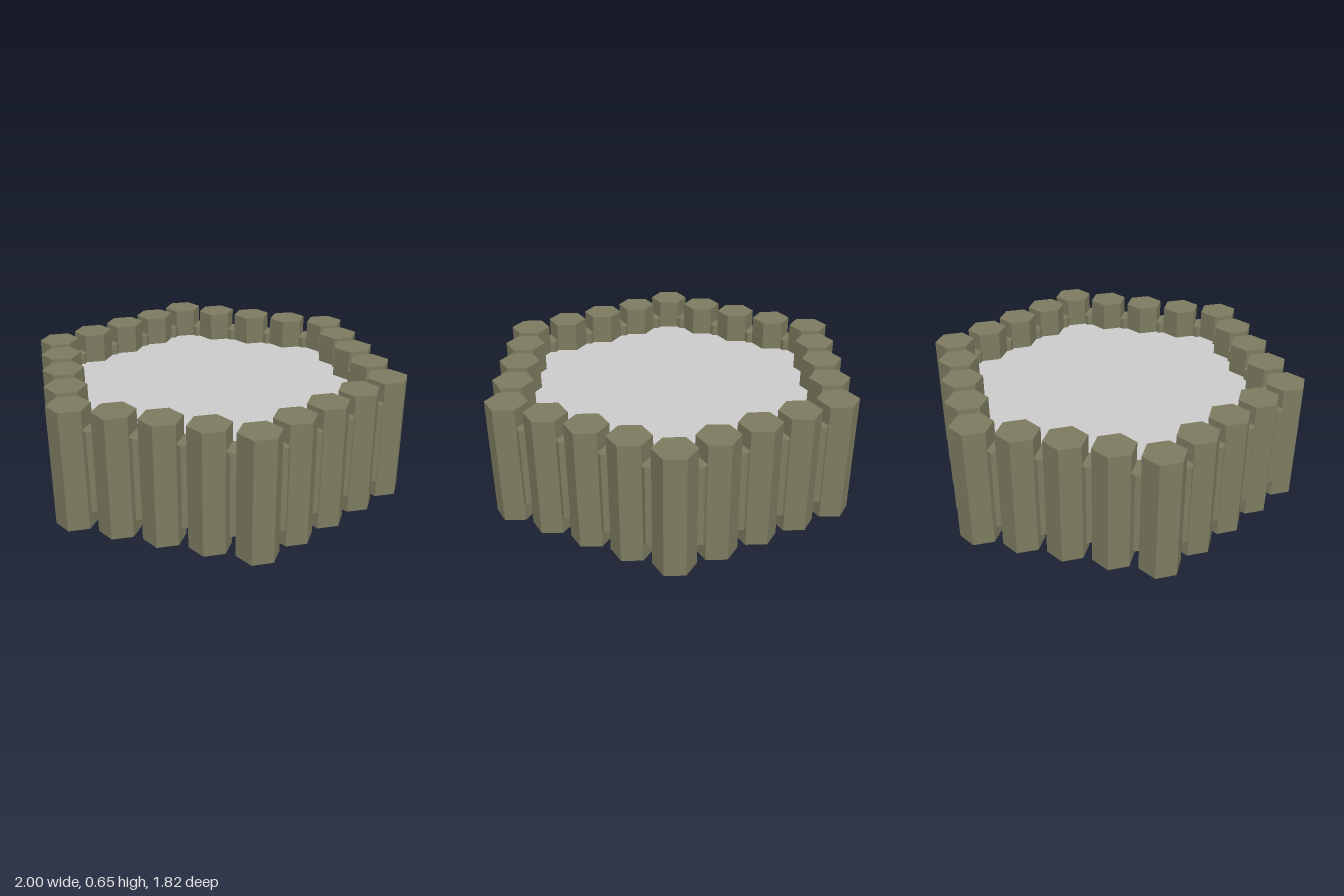
import * as THREE from 'three';

export function createModel() {
  const model = new THREE.Group();
  model.name = 'hexagonalPool';
  const stone = new THREE.MeshStandardMaterial({ color: 0x7c7b60, flatShading: true });
  const grey = new THREE.MeshStandardMaterial({ color: 0xcccccc });
  const yellow = new THREE.MeshStandardMaterial({ color: 0xdad638 });

  // the whole ring leans very slightly, rising towards +x
  const ring = new THREE.Group();
  ring.name = 'ring';
  ring.rotation.z = 0.006;
  ring.position.y = 0.006;
  model.add(ring);

  // corners of the hexagonal ring as [x, z]
  const corners = [
    [0.905, -0.003], [0.463, 0.798], [-0.447, 0.802],
    [-0.908, -0.003], [-0.447, -0.806], [0.463, -0.802],
  ].map(([x, z]) => new THREE.Vector2(x, z));

  const hexPrism = (name, radius, height, p, y) => {
    const mesh = new THREE.Mesh(new THREE.CylinderGeometry(radius, radius, height, 6), stone);
    mesh.name = name;
    mesh.position.set(p.x, y, p.y);
    ring.add(mesh);
  };

  // four columns per side, each followed by a shorter, thinner connector
  const steps = 4;
  corners.forEach((a, i) => {
    const b = corners[(i + 1) % corners.length];
    for (let k = 0; k < steps; k++) {
      hexPrism('column', 0.106, 0.635, a.clone().lerp(b, k / steps), 0.318);
      hexPrism('connector', 0.067, 0.43, a.clone().lerp(b, (k + 0.5) / steps), 0.322);
    }
  });

  // sheets spanning the ring, one facing up and one facing down
  const sheet = (name, y, turn, material) => {
    const outline = new THREE.Shape(corners.map((c) => new THREE.Vector2(c.x, c.y * Math.sign(turn))));
    const mesh = new THREE.Mesh(new THREE.ShapeGeometry(outline), material);
    mesh.name = name;
    mesh.rotation.x = turn;
    mesh.position.y = y;
    ring.add(mesh);
  };
  sheet('surface', 0.475, -Math.PI / 2, grey);
  sheet('underside', 0.34, Math.PI / 2, yellow);

  return model;
}
